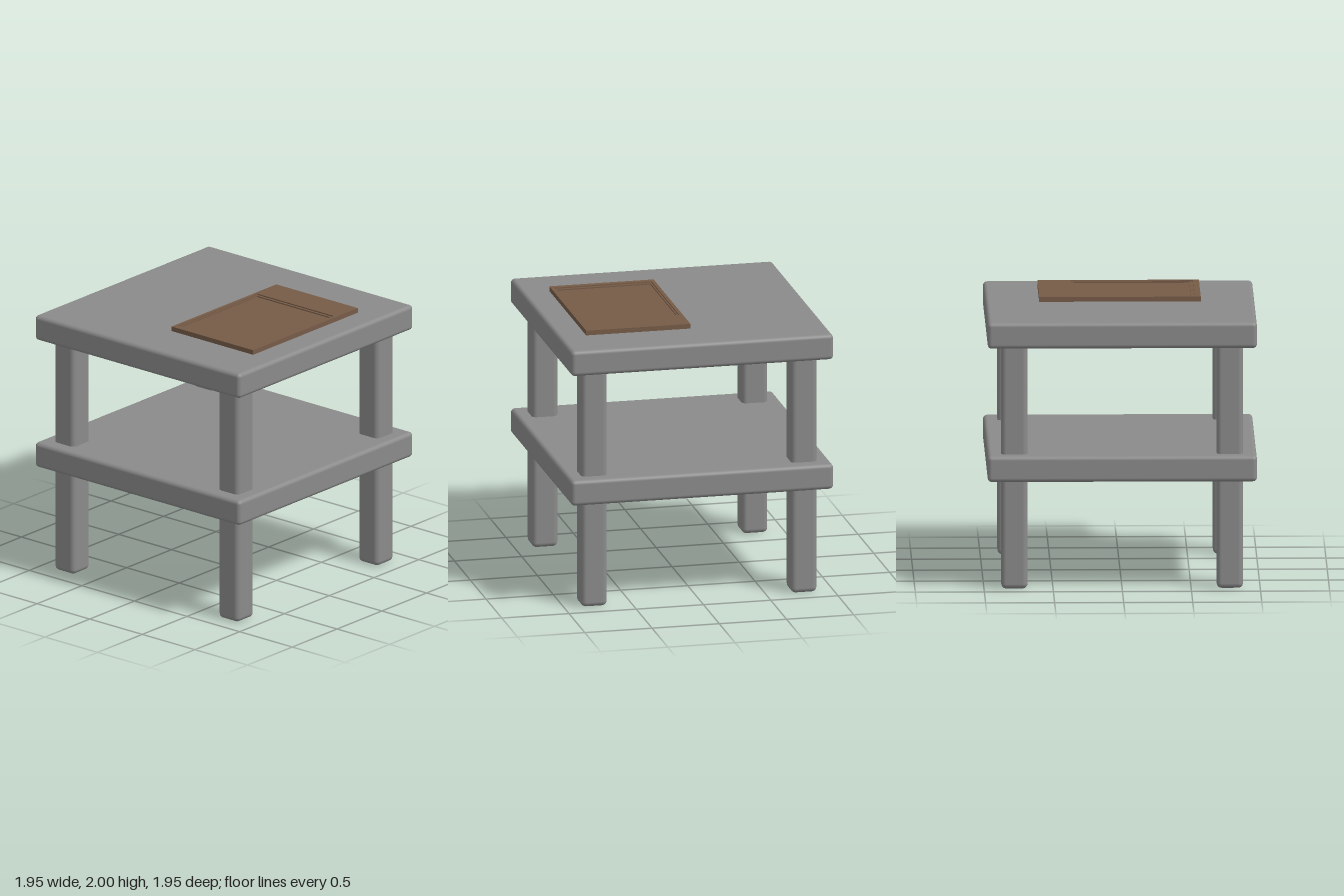
import * as THREE from 'three';
import { RoundedBoxGeometry } from 'three/addons/geometries/RoundedBoxGeometry.js';

const grey = new THREE.MeshStandardMaterial({ color: 0x8a8a8a });
grey.name = 'stone grey';
const brown = new THREE.MeshStandardMaterial({ color: 0x765b47 });
brown.name = 'wood brown';

function slab(name, width, height, depth, x, bottom, z, radius) {
  const mesh = new THREE.Mesh(new RoundedBoxGeometry(width, height, depth, 3, radius), grey);
  mesh.name = name;
  mesh.position.set(x, bottom + height / 2, z);
  return mesh;
}

// Rectangle in x and z, mapped so that extrusion runs upward
function trace(path, [x0, x1, z0, z1]) {
  path.moveTo(x0, -z1);
  path.lineTo(x1, -z1);
  path.lineTo(x1, -z0);
  path.lineTo(x0, -z0);
  path.closePath();
  return path;
}

function layer(name, outer, inner, bottom, top) {
  const shape = trace(new THREE.Shape(), outer);
  if (inner) shape.holes.push(trace(new THREE.Path(), inner));
  const geometry = new THREE.ExtrudeGeometry(shape, { depth: top - bottom, bevelEnabled: false });
  geometry.rotateX(-Math.PI / 2);
  const mesh = new THREE.Mesh(geometry, brown);
  mesh.name = name;
  mesh.position.y = bottom;
  return mesh;
}

export function createModel() {
  const model = new THREE.Group();
  model.name = 'sideTable';

  // Table top and lower shelf
  model.add(slab('tableTop', 1.95, 0.19, 1.95, 0, 1.775, 0, 0.03));
  model.add(slab('shelf', 1.95, 0.19, 1.95, 0, 0.797, 0, 0.03));

  // Four legs running through the shelf
  for (const x of [-0.78, 0.78]) {
    for (const z of [-0.78, 0.78]) {
      model.add(slab('leg', 0.19, 1.82, 0.19, x, 0, z, 0.035));
    }
  }

  // Board with a stepped rectangular recess
  const board = new THREE.Group();
  board.name = 'board';
  const edge = [-0.585, 0.585, 0, 0.775];
  const ledge = [-0.54, 0.345, 0.027, 0.748];
  const floor = [-0.515, 0.325, 0.04, 0.733];
  board.add(layer('boardBase', edge, null, 1.962, 1.984));
  board.add(layer('boardFrame', edge, ledge, 1.984, 2));
  board.add(layer('recessLedge', ledge, floor, 1.984, 1.992));
  model.add(board);

  return model;
}
